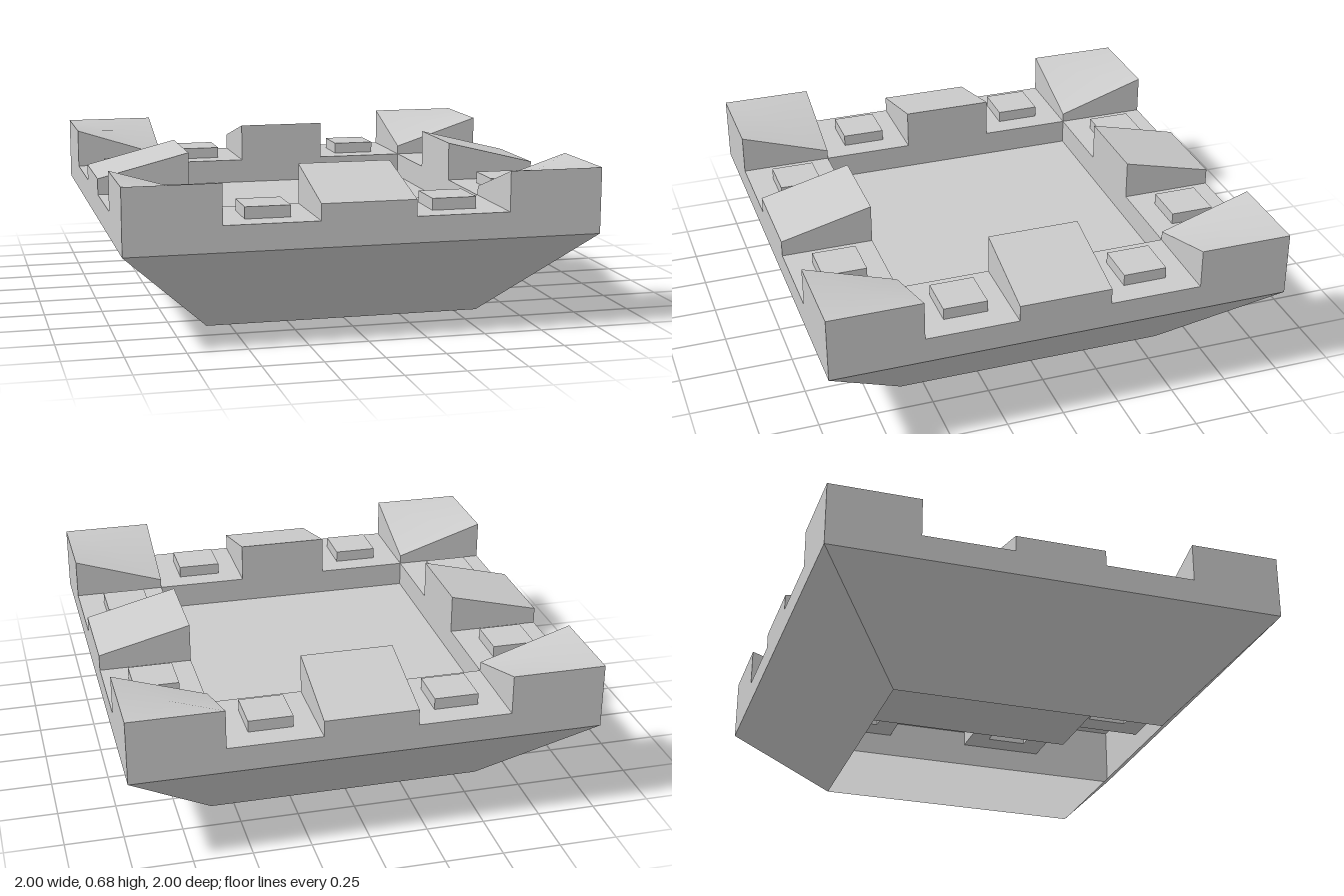
import * as THREE from 'three';
import { mergeVertices } from 'three/addons/utils/BufferGeometryUtils.js';

const material = new THREE.MeshStandardMaterial({ color: 0xcccccc, side: THREE.DoubleSide });

// Heights and plan positions
const RIM = 0.4, LEDGE = 0.51, PAD = 0.56, SLOPE = 0.58, TOP = 0.68, DIP = 0.55;
const IN = 0.6, OUT = 1, MID = 0.2;

// Mesh from flat polygons, each a counter-clockwise list of [x, y, z] corners
function panels(name, polygons, smooth = false) {
  const points = [];
  for (const p of polygons) {
    for (let i = 1; i < p.length - 1; i++) points.push(...p[0], ...p[i], ...p[i + 1]);
  }
  let geometry = new THREE.BufferGeometry();
  geometry.setAttribute('position', new THREE.Float32BufferAttribute(points, 3));
  if (smooth) geometry = mergeVertices(geometry);
  geometry.computeVertexNormals();
  const mesh = new THREE.Mesh(geometry, material);
  mesh.name = name;
  return mesh;
}

// Corners of a level rectangle, counter-clockwise from above
const rect = (x0, x1, z0, z1, y) => [[x0, y, z1], [x1, y, z1], [x1, y, z0], [x0, y, z0]];

// Polygons joining two loops of four corners
const bridge = (a, b) => a.map((p, i) => {
  const j = (i + 1) % 4;
  return [p, a[j], b[j], b[i]];
});

// Upright panels facing out (+z) and in (-z)
const outward = (x0, x1, y, z) => [[x0, RIM, z], [x1, RIM, z], [x1, y, z], [x0, y, z]];
const inward = (x0, x1, y, z) => [[x1, RIM, z], [x0, RIM, z], [x0, y, z], [x1, y, z]];

// Low ledge with a small raised square pad, hollow underneath
function ledge(centre) {
  const x0 = centre - MID, x1 = centre + MID;
  const px = Math.sign(centre) * 0.395, pz = 0.795, h = 0.095;
  const hole = rect(px - h, px + h, pz - h, pz + h, LEDGE);
  const pad = rect(px - h, px + h, pz - h, pz + h, PAD);
  const group = new THREE.Group();
  group.name = 'ledge';
  group.add(panels('ledgeSurface', [
    outward(x0, x1, LEDGE, OUT),
    inward(x0, x1, LEDGE, IN),
    ...bridge(rect(x0, x1, IN, OUT, LEDGE), hole),
  ]));
  group.add(panels('raisedPad', [...bridge(hole, pad), pad]));
  return group;
}

// Middle block sloping down towards the outside
function middleBlock() {
  const side = (x) => [[x, LEDGE, OUT], [x, LEDGE, IN], [x, TOP, IN], [x, SLOPE, OUT]];
  return panels('middleBlock', [
    outward(-MID, MID, SLOPE, OUT),
    inward(-MID, MID, TOP, IN),
    [[-MID, SLOPE, OUT], [MID, SLOPE, OUT], [MID, TOP, IN], [-MID, TOP, IN]],
    side(MID),
    side(-MID).reverse(),
  ]);
}

// Corner block whose top dips towards the middle of the model
function cornerBlock() {
  const a = [IN, TOP, OUT], b = [OUT, TOP, OUT], c = [OUT, TOP, IN], d = [IN, DIP, IN];
  const m = [(IN + OUT) / 2, (3 * TOP + DIP) / 4, (IN + OUT) / 2];
  const group = new THREE.Group();
  group.name = 'cornerBlock';
  group.add(panels('cornerWalls', [
    outward(IN, OUT, TOP, OUT),
    [[OUT, RIM, OUT], [OUT, RIM, IN], c, b],
    [[IN, LEDGE, IN], [IN, LEDGE, OUT], a, d],
    [[OUT, LEDGE, IN], [IN, LEDGE, IN], d, c],
  ]));
  group.add(panels('cornerTop', [[m, a, b], [m, b, c], [m, c, d], [m, d, a]], true));
  return group;
}

export function createModel() {
  const model = new THREE.Group();
  model.name = 'battlementPlatform';

  // Tapered skirt, open below, and the sunken floor
  model.add(panels('taperedSkirt', bridge(rect(-IN, IN, -IN, IN, 0), rect(-OUT, OUT, -OUT, OUT, RIM))));
  model.add(panels('floor', [rect(-IN, IN, -IN, IN, RIM)]));

  // Four equal sides, each with one corner
  for (let i = 0; i < 4; i++) {
    const side = new THREE.Group();
    side.name = 'battlementSide';
    side.add(middleBlock(), ledge(-0.4), ledge(0.4), cornerBlock());
    side.rotation.y = i * Math.PI / 2;
    model.add(side);
  }
  return model;
}
